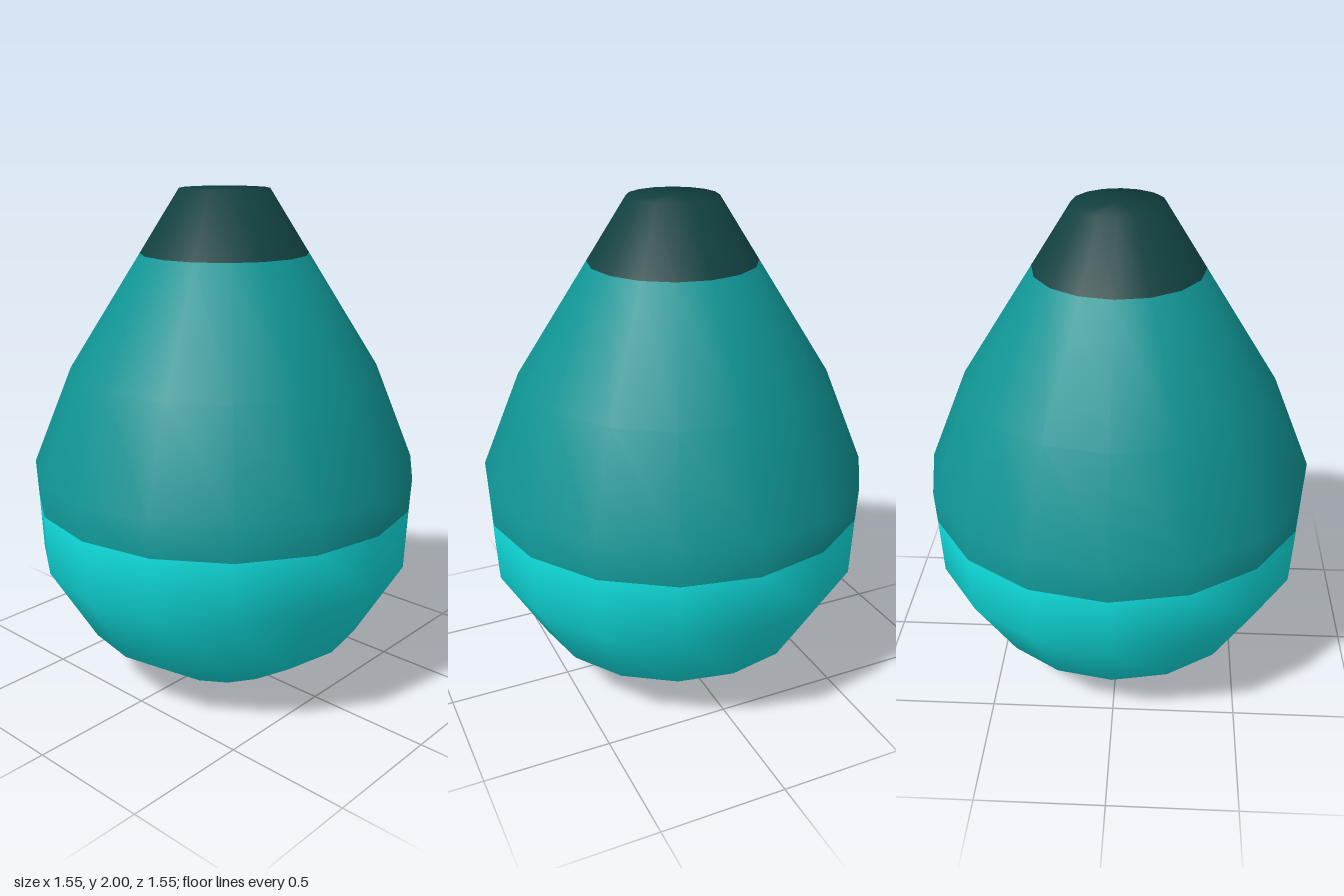
import * as THREE from 'three';

// Profile rings from bottom to top: [radius, height]
const RINGS = [
  [0, 0], [0.305, 0.045], [0.575, 0.23], [0.758, 0.54],
  [0.768, 0.78], // lower colour border
  [0.775, 0.915], [0.615, 1.305],
  [0.33, 1.755], // tip colour border
  [0.175, 2], [0, 2],
];
const BORDERS = [4, 7];
const SIDES = 16;

const material = (name, color) => {
  const m = new THREE.MeshStandardMaterial({ color });
  m.name = name;
  return m;
};

// Whole smooth surface; the border rings take blended normals so shading runs through them
function bodySurface() {
  const geo = new THREE.LatheGeometry(RINGS.map(([r, y]) => new THREE.Vector2(r, y)), SIDES);
  const normal = geo.attributes.normal;
  const a = new THREE.Vector3(), b = new THREE.Vector3();
  for (let i = 0; i <= SIDES; i++) {
    for (const j of BORDERS) {
      const k = i * RINGS.length + j;
      const [y0, y, y1] = [RINGS[j - 1][1], RINGS[j][1], RINGS[j + 1][1]];
      a.fromBufferAttribute(normal, k - 1);
      b.fromBufferAttribute(normal, k + 1);
      a.lerp(b, (y - y0) / (y1 - y0)).normalize();
      normal.setXYZ(k, a.x, a.y, a.z);
    }
  }
  return geo;
}

// Band of the surface between two rings
function band(surface, from, to, name, mat) {
  const geo = surface.clone();
  const index = [];
  for (let i = 0; i < SIDES; i++) {
    for (let j = from; j < to; j++) {
      const a = i * RINGS.length + j, b = a + RINGS.length;
      index.push(a, b, a + 1, b + 1, a + 1, b);
    }
  }
  geo.setIndex(index);
  const mesh = new THREE.Mesh(geo, mat);
  mesh.name = name;
  return mesh;
}

export function createModel() {
  const group = new THREE.Group();
  group.name = 'dropBody';
  const surface = bodySurface();
  group.add(
    band(surface, 0, BORDERS[0], 'lowerBody', material('bright teal', 0x10e0e0)),
    band(surface, BORDERS[0], BORDERS[1], 'upperBody', material('teal', 0x109494)),
    band(surface, BORDERS[1], RINGS.length - 1, 'darkTip', material('dark teal', 0x113f3f)),
  );
  return group;
}
